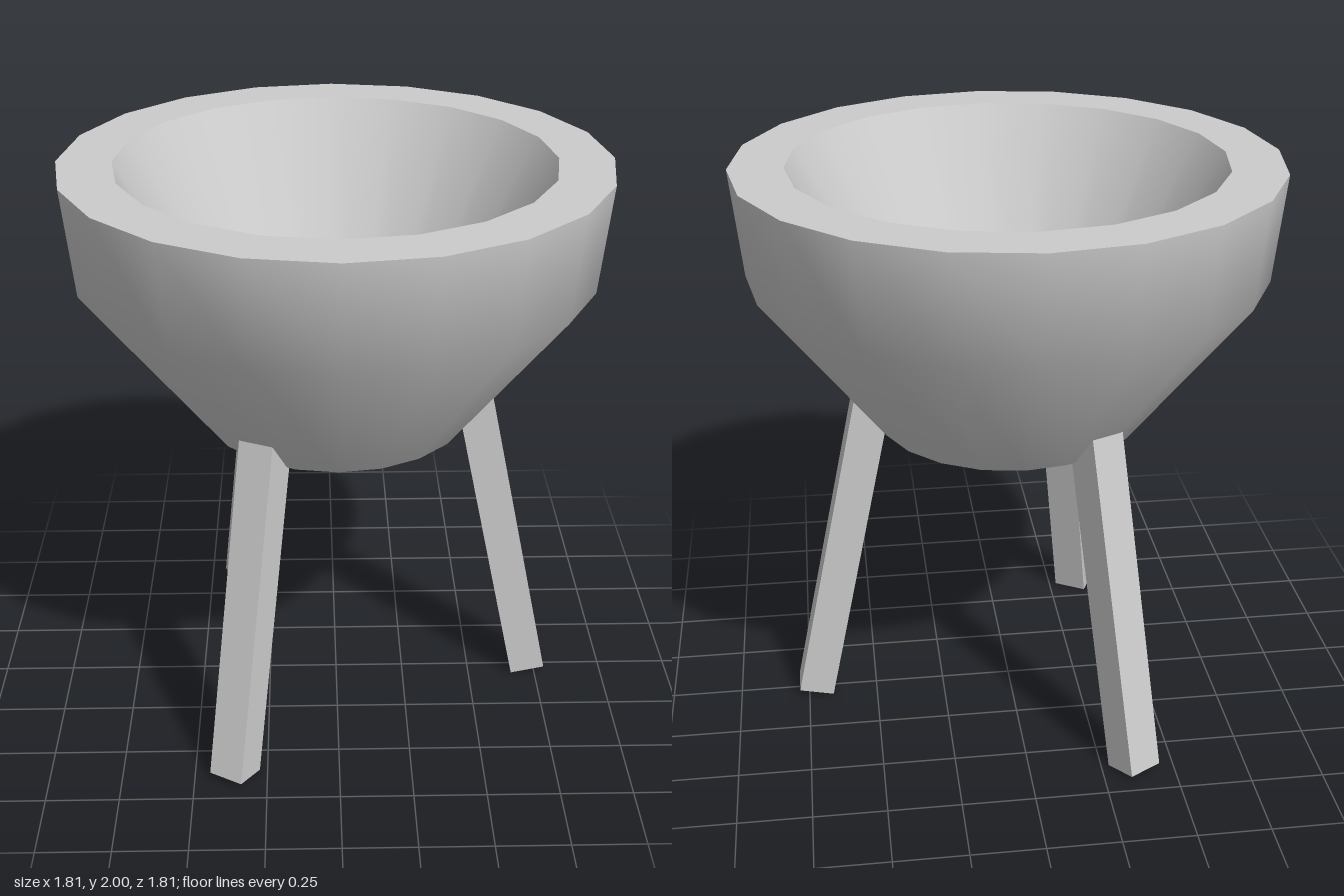
import * as THREE from 'three';

export function createModel() {
  const model = new THREE.Group();
  const grey = new THREE.MeshStandardMaterial({ color: 0xcccccc });
  grey.name = 'light grey';

  const SIDES = 20;
  const bowl = new THREE.Group();
  bowl.name = 'bowl';
  model.add(bowl);

  // Each bowl surface is its own lathe, so the rims between them stay sharp
  const turn = (name, profile) => {
    const points = profile.map(([r, y]) => new THREE.Vector2(r, y));
    const mesh = new THREE.Mesh(new THREE.LatheGeometry(points, SIDES), grey);
    mesh.name = name;
    bowl.add(mesh);
  };
  turn('underside', [[0, 1.097], [0.453, 1.097]]);
  turn('outerWall', [[0.453, 1.097], [0.868, 1.64], [0.903, 2]]);
  turn('rim', [[0.903, 2], [0.722, 2]]);
  turn('innerWall', [[0.722, 2], [0.324, 1.28]]);
  turn('bowlFloor', [[0.324, 1.28], [0, 1.28]]);

  // Three square legs, splayed outwards and ending inside the bowl wall
  const legLength = 1.24, legWidth = 0.125, splay = THREE.MathUtils.degToRad(12);
  const legGeometry = new THREE.BoxGeometry(legWidth, legLength, legWidth)
    .translate(0, legLength / 2, 0)
    .rotateZ(splay)
    .translate(0.723, Math.sin(splay) * legWidth / 2, 0);
  ['leftLeg', 'backRightLeg', 'frontRightLeg'].forEach((name, i) => {
    const leg = new THREE.Mesh(legGeometry, grey);
    leg.name = name;
    leg.rotation.y = i * Math.PI * 2 / 3;
    model.add(leg);
  });

  return model;
}
